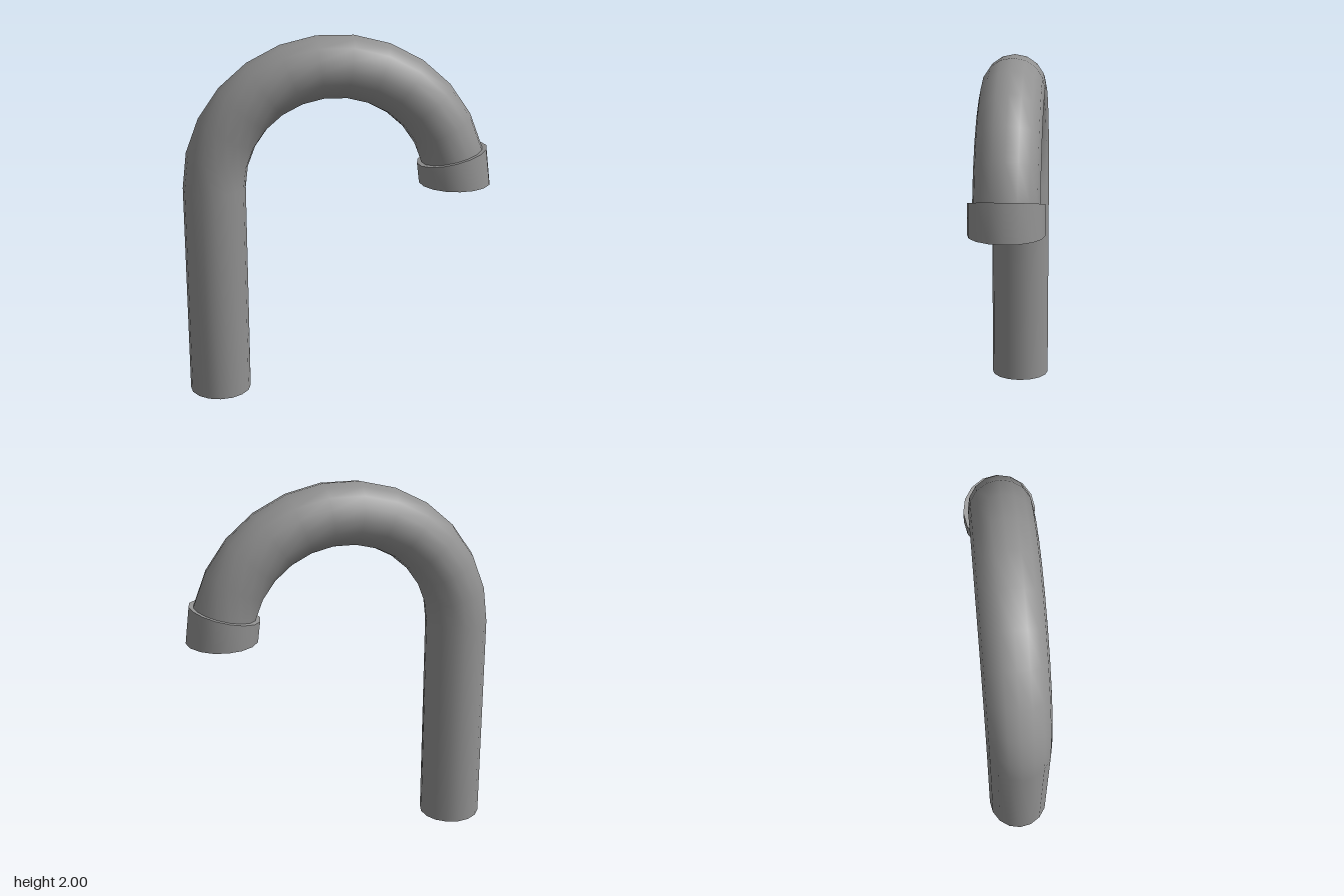
import * as THREE from 'three';
import { toCreasedNormals } from 'three/addons/utils/BufferGeometryUtils.js';

const SIDES = 16, STEPS = 13;             // pipe sides, bend segments
const CX = -0.015, CY = 1.185, BEND = 0.653; // centre and radius of the bend
const PIPE_R = 0.169, COLLAR_R = 0.194;

// A circular section at an angle round the bend (PI = riser, 0 = outlet)
function section(angle, r) {
  return { x: CX + BEND * Math.cos(angle), y: CY + BEND * Math.sin(angle), angle, r };
}

// Skin a row of circular sections; a radius of 0 closes an end
function loft(sections) {
  const pos = [], index = [];
  for (const s of sections) {
    for (let j = 0; j < SIDES; j++) {
      const t = (j / SIDES) * Math.PI * 2, u = s.r * Math.cos(t);
      pos.push(s.x + u * Math.cos(s.angle), s.y + u * Math.sin(s.angle), s.r * Math.sin(t));
    }
  }
  for (let i = 0; i < sections.length - 1; i++) {
    for (let j = 0; j < SIDES; j++) {
      const k = (j + 1) % SIDES;
      const a = i * SIDES + j, b = i * SIDES + k;
      const c = a + SIDES, d = b + SIDES;
      if (sections[i].r > 0) index.push(a, b, c);
      if (sections[i + 1].r > 0) index.push(b, d, c);
    }
  }
  const g = new THREE.BufferGeometry();
  g.setAttribute('position', new THREE.Float32BufferAttribute(pos, 3));
  g.setIndex(index);
  return toCreasedNormals(g, THREE.MathUtils.degToRad(40));
}

export function createModel() {
  const group = new THREE.Group();
  group.name = 'bentPipe';
  const material = new THREE.MeshStandardMaterial({ color: 0x919191 });
  const add = (name, sections) => {
    const mesh = new THREE.Mesh(loft(sections), material);
    mesh.name = name;
    group.add(mesh);
  };

  // Straight riser and half-round bend, capped at both ends
  const step = Math.PI / STEPS;
  const base = { ...section(Math.PI, PIPE_R), y: 0 };
  const end = section(0.085, PIPE_R);     // stops just inside the collar
  const pipe = [{ ...base, r: 0 }, base];
  for (let i = 0; i < STEPS; i++) pipe.push(section(Math.PI - i * step, PIPE_R));
  pipe.push(end, { ...end, r: 0 });
  add('pipe', pipe);

  // Collar round the outlet: outer wall, lower rim, inner wall, upper rim
  add('collar', [
    section(step, COLLAR_R), section(0, COLLAR_R),
    section(0, PIPE_R + 0.002), section(step, PIPE_R - 0.002),
    section(step, COLLAR_R),
  ]);

  return group;
}
